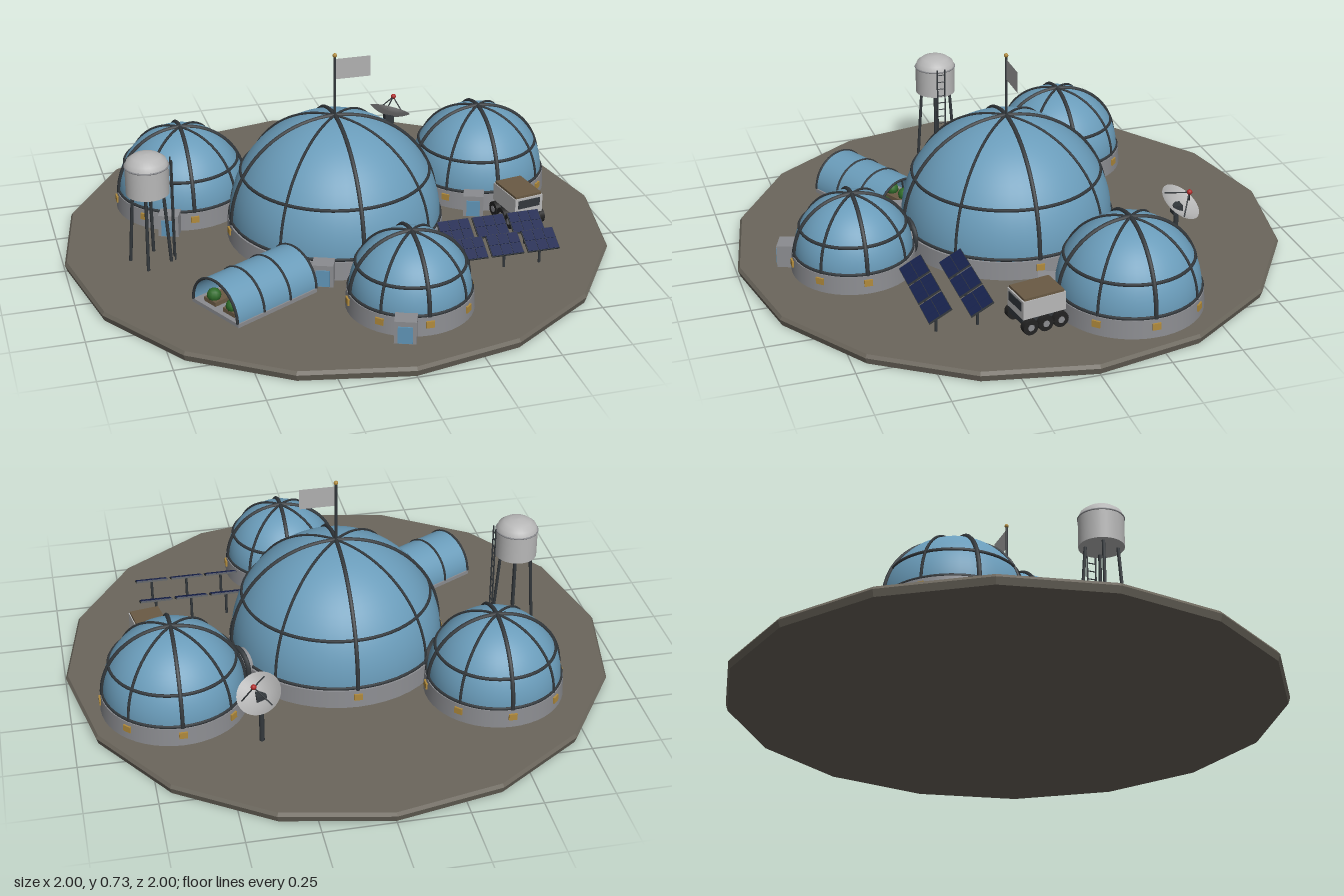
import * as THREE from 'three';

const mat = (color, extra = {}) => new THREE.MeshStandardMaterial({ color, ...extra });
const M = {
  soil: mat(0x6b665c, { flatShading: true }),
  glass: mat(0x6a9cba, { side: THREE.DoubleSide }),
  rib: mat(0x33383c),
  wall: mat(0x8b8c90),
  pale: mat(0xb8b8b8),
  window: mat(0xb08a3c),
  door: mat(0x5f93b5),
  panel: mat(0x18234f),
  plant: mat(0x2f6b2a),
  cargo: mat(0x6a5a44),
  tyre: mat(0x222222),
  red: mat(0xb02a2a),
  thin: mat(0xb0b0b0, { side: THREE.DoubleSide }),
};
const GROUND = 0.036;

function add(parent, name, geometry, material, x = 0, y = 0, z = 0) {
  const mesh = new THREE.Mesh(geometry, material);
  mesh.name = name;
  mesh.position.set(x, y, z);
  parent.add(mesh);
  return mesh;
}

function group(parent, name, x = 0, y = 0, z = 0, turn = 0) {
  const g = new THREE.Group();
  g.name = name;
  g.position.set(x, y, z);
  g.rotation.y = turn;
  parent.add(g);
  return g;
}

const box = (w, h, d) => new THREE.BoxGeometry(w, h, d);
const cyl = (r, h, n = 16) => new THREE.CylinderGeometry(r, r, h, n);

// Straight round bar between two points
function bar(parent, name, a, b, r, material = M.rib) {
  const p = new THREE.Vector3(...a), q = new THREE.Vector3(...b);
  const dir = q.clone().sub(p);
  const mesh = add(parent, name, cyl(r, dir.length(), 8), material);
  mesh.position.copy(p).add(q).multiplyScalar(0.5);
  mesh.quaternion.setFromUnitVectors(new THREE.Vector3(0, 1, 0), dir.normalize());
  return mesh;
}

// Habitat dome: base wall, glass shell, ribs, windows and airlock
function dome(parent, name, x, z, r) {
  const g = group(parent, name, x, 0, z);
  const top = 0.103, wallR = r + 0.012;
  add(g, 'baseWall', new THREE.CylinderGeometry(wallR - 0.004, wallR, top - GROUND, 48), M.wall, 0, (top + GROUND) / 2, 0);
  add(g, 'shell', new THREE.SphereGeometry(r, 48, 20, 0, Math.PI * 2, 0, Math.PI / 2), M.glass, 0, top, 0);
  for (let i = 0; i < 4; i++) {
    const tube = i % 2 ? 0.005 : 0.008;
    add(g, 'meridianRib', new THREE.TorusGeometry(r + 0.002, tube, 6, 48, Math.PI), M.rib, 0, top, 0).rotation.y = i * Math.PI / 4;
  }
  for (const [angle, tube] of [[0.02, 0.006], [0.48, 0.006]]) {
    const ring = new THREE.TorusGeometry(r * Math.cos(angle) + 0.001, tube, 6, 64);
    add(g, 'ringRib', ring, M.rib, 0, top + r * Math.sin(angle), 0).rotation.x = Math.PI / 2;
  }
  for (let i = 0; i < 8; i++) {
    const holder = group(g, 'windowBay', 0, 0.078, 0, i * Math.PI / 4);
    add(holder, 'window', box(0.03, 0.024, 0.012), M.window, 0, 0, wallR - 0.003);
  }
  const lock = group(g, 'airlock', 0, 0, 0, -0.365);
  add(lock, 'airlockBody', box(0.075, 0.083, 0.07), M.wall, 0, GROUND + 0.0415, wallR + 0.012);
  add(lock, 'airlockDoor', box(0.05, 0.062, 0.006), M.door, 0, GROUND + 0.034, wallR + 0.048);
}

// Corridor joining the central dome to a smaller one
function corridor(parent, x, z, mainR, r) {
  const d = Math.hypot(x, z), mid = (mainR + d - r) / 2;
  const g = group(parent, 'corridor', 0, 0.1, 0, Math.atan2(x, z));
  add(g, 'corridorTube', cyl(0.056, 0.14, 20), M.wall, 0, 0, mid).rotation.x = Math.PI / 2;
  add(g, 'corridorCollar', new THREE.TorusGeometry(0.06, 0.01, 8, 24), M.rib, 0, 0, mid);
}

function greenhouse(parent) {
  const g = group(parent, 'greenhouse', -0.4, GROUND, 0.418, 0.48);
  const L = 0.355, R = 0.117;
  add(g, 'greenhouseFloor', box(L, 0.014, R * 2 + 0.01), M.wall, 0, 0.007, 0);
  const vault = new THREE.CylinderGeometry(R, R, L, 32, 1, true, 0, Math.PI);
  vault.rotateZ(Math.PI / 2);
  add(g, 'vault', vault, M.glass, 0, 0.014, 0);
  for (let i = 0; i < 4; i++) {
    const arch = add(g, 'arch', new THREE.TorusGeometry(R, 0.005, 6, 28, Math.PI), M.rib, -L / 2 + i * L / 3, 0.014, 0);
    arch.rotation.y = Math.PI / 2;
  }
  for (const side of [-1, 1]) {
    add(g, 'plantBed', box(L * 0.9, 0.016, 0.06), M.cargo, 0, 0.022, side * 0.05);
    for (let i = 0; i < 5; i++)
      add(g, 'plant', new THREE.SphereGeometry(0.025, 10, 8), M.plant, -0.14 + i * 0.07, 0.042, side * 0.05);
  }
}

function waterTower(parent) {
  const g = group(parent, 'waterTower', -0.7, 0, 0.07);
  const profile = [[0, 0.31], [0.077, 0.31], [0.077, 0.31], [0.077, 0.415], [0.077, 0.415], [0.07, 0.435], [0.05, 0.45], [0.026, 0.457], [0, 0.459]];
  add(g, 'tank', new THREE.LatheGeometry(profile.map(p => new THREE.Vector2(...p)), 32), M.pale);
  add(g, 'tankBand', new THREE.TorusGeometry(0.077, 0.003, 6, 32), M.wall, 0, 0.415, 0).rotation.x = Math.PI / 2;
  for (let i = 0; i < 4; i++) {
    const a = 0.3 + i * Math.PI / 2, c = Math.cos(a), s = Math.sin(a);
    bar(g, 'leg', [c * 0.073, GROUND, s * 0.073], [c * 0.054, 0.315, s * 0.054], 0.006);
  }
  // Ladder
  for (const side of [-1, 1])
    bar(g, 'ladderRail', [0.086, GROUND, side * 0.015], [0.086, 0.43, side * 0.015], 0.003);
  for (let i = 0; i < 13; i++)
    bar(g, 'ladderRung', [0.086, 0.06 + i * 0.029, -0.015], [0.086, 0.06 + i * 0.029, 0.015], 0.002);
}

function dish(parent) {
  const g = group(parent, 'antenna', 0.365, 0, -0.52);
  add(g, 'antennaMast', cyl(0.009, 0.18, 12), M.rib, 0, GROUND + 0.09, 0);
  add(g, 'antennaMount', box(0.035, 0.035, 0.035), M.rib, 0, 0.212, 0);
  const head = group(g, 'antennaHead', 0, 0.22, 0);
  head.quaternion.setFromUnitVectors(new THREE.Vector3(0, 1, 0), new THREE.Vector3(0.36, 0.8, -0.42).normalize());
  const bowl = [];
  for (let i = 0; i <= 8; i++) bowl.push(new THREE.Vector2(0.08 * i / 8, 0.026 * (i / 8) ** 2));
  add(head, 'reflector', new THREE.LatheGeometry(bowl, 32), M.thin);
  for (let i = 0; i < 3; i++) {
    const a = i * Math.PI * 2 / 3;
    bar(head, 'feedStrut', [Math.cos(a) * 0.065, 0.018, Math.sin(a) * 0.065], [0, 0.078, 0], 0.0025);
  }
  add(head, 'feed', new THREE.SphereGeometry(0.01, 12, 8), M.red, 0, 0.08, 0);
}

function solarPanel(parent, x, z) {
  const g = group(parent, 'solarPanel', x, 0, z);
  add(g, 'panelPost', cyl(0.005, 0.085, 8), M.rib, 0, GROUND + 0.0425, 0);
  const tilt = group(g, 'panelTilt', 0, 0.125, 0);
  tilt.rotation.x = 0.5;
  add(tilt, 'panelFrame', box(0.12, 0.006, 0.09), M.rib);
  for (let i = 0; i < 3; i++)
    for (const side of [-1, 1])
      add(tilt, 'solarCell', box(0.037, 0.004, 0.042), M.panel, (i - 1) * 0.039, 0.003, side * 0.022);
}

function rover(parent) {
  const g = group(parent, 'rover', 0.675, GROUND, 0.11, 0.17);
  add(g, 'chassis', box(0.1, 0.022, 0.16), M.rib, 0, 0.045, 0);
  add(g, 'roverBody', box(0.115, 0.068, 0.16), M.pale, 0, 0.09, 0);
  add(g, 'roverRoof', box(0.108, 0.012, 0.15), M.cargo, 0, 0.127, 0);
  add(g, 'windscreen', box(0.09, 0.032, 0.006), M.rib, 0, 0.1, 0.08);
  for (const side of [-1, 1])
    for (let i = -1; i <= 1; i++) {
      add(g, 'wheel', cyl(0.028, 0.024, 18), M.tyre, side * 0.058, 0.028, i * 0.057).rotation.z = Math.PI / 2;
      add(g, 'hub', cyl(0.012, 0.028, 12), M.wall, side * 0.058, 0.028, i * 0.057).rotation.z = Math.PI / 2;
    }
}

export function createModel() {
  const model = new THREE.Group();
  model.name = 'domeBase';

  // Sixteen-sided ground slab with a chamfered rim
  add(model, 'groundSlab', new THREE.CylinderGeometry(1, 0.992, 0.024, 16), M.soil, 0, 0.012, 0);
  add(model, 'groundTop', new THREE.CylinderGeometry(0.992, 1, 0.012, 16), M.soil, 0, 0.03, 0);

  // Domes and corridors
  const mainR = 0.386;
  dome(model, 'mainDome', 0, 0, mainR);
  for (const [name, x, z, r] of [['leftDome', 0.632, -0.235, 0.25], ['rightDome', -0.5, -0.37, 0.238], ['frontDome', 0.1, 0.6, 0.21]]) {
    dome(model, name, x, z, r);
    corridor(model, x, z, mainR, r);
  }

  // Flag on the main dome
  const flag = group(model, 'flag', 0, 0.48, 0);
  add(flag, 'flagPole', cyl(0.005, 0.24, 10), M.rib, 0, 0.12, 0);
  add(flag, 'poleTip', new THREE.SphereGeometry(0.008, 12, 8), M.window, 0, 0.243, 0);
  add(flag, 'flagCloth', new THREE.PlaneGeometry(0.13, 0.078), M.thin, 0.067, 0.19, 0);

  greenhouse(model);
  waterTower(model);
  dish(model);
  for (const z of [0.303, 0.447])
    for (const x of [0.365, 0.498, 0.632]) solarPanel(model, x, z);
  rover(model);
  return model;
}
